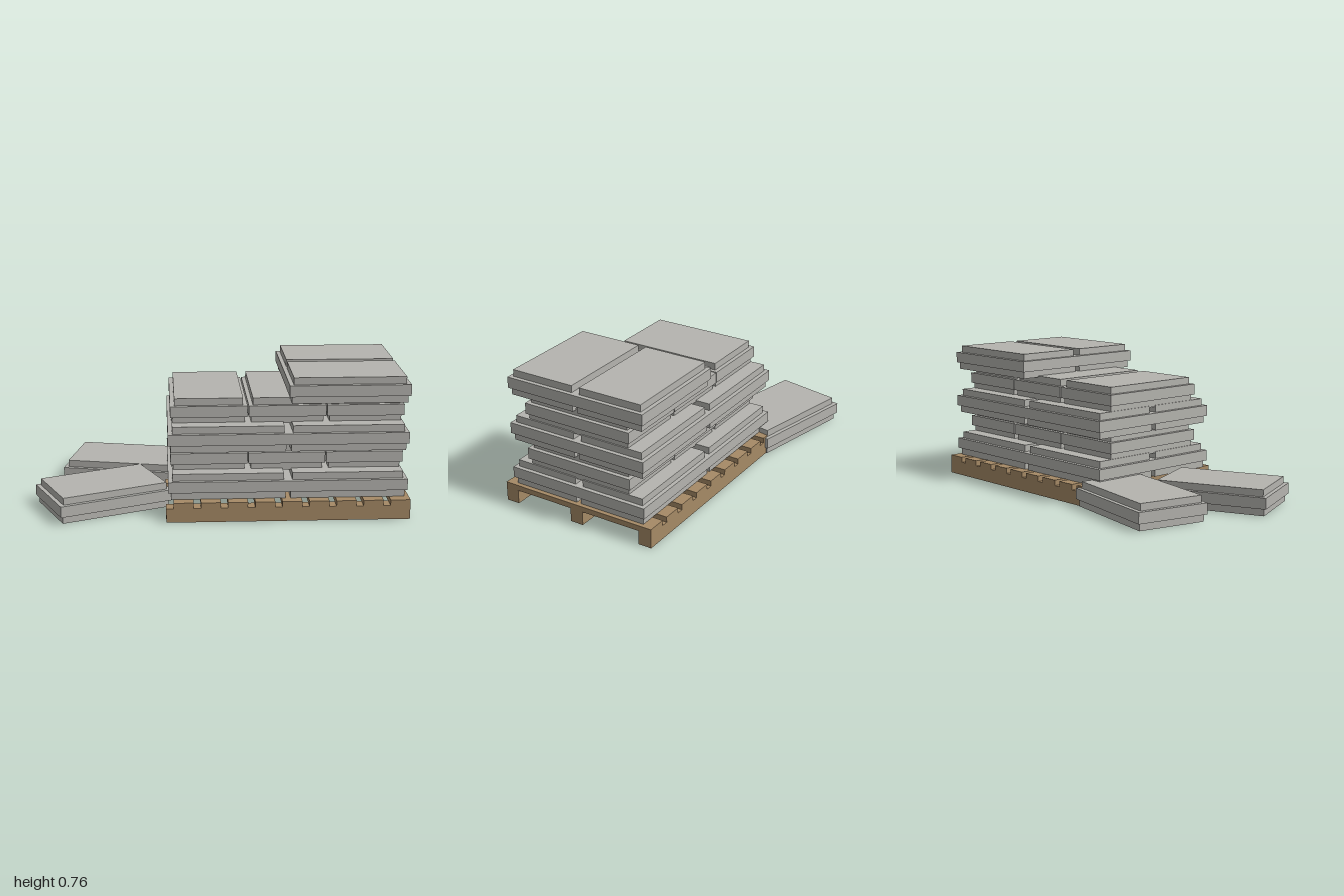
import * as THREE from 'three';

const LONG = 0.634, SHORT = 0.409, PITCH = 0.129, DECK_TOP = 0.107;

export function createModel() {
  const model = new THREE.Group();
  model.name = 'palletOfSlabs';
  const stone = new THREE.MeshStandardMaterial({ color: 0xb5b4af });
  stone.name = 'grey stone';
  const wood = new THREE.MeshStandardMaterial({ color: 0xa68a66 });
  wood.name = 'brown wood';

  // Box given by its lower and upper corners
  function box(parent, name, material, [x0, y0, z0], [x1, y1, z1]) {
    const mesh = new THREE.Mesh(new THREE.BoxGeometry(x1 - x0, y1 - y0, z1 - z0), material);
    mesh.position.set((x0 + x1) / 2, (y0 + y1) / 2, (z0 + z1) / 2);
    mesh.name = name;
    parent.add(mesh);
  }

  // Slab: a wide middle with a narrower foot and cap
  function slab(name, x, y, z, turn = 0) {
    const group = new THREE.Group();
    group.name = name;
    const tiers = [
      ['slabFoot', 0, 0.039, 0.0135],
      ['slabBody', 0.039, 0.099, 0],
      ['slabCap', 0.099, 0.137, 0.0225],
    ];
    for (const [part, y0, y1, inset] of tiers) {
      const hx = LONG / 2 - inset, hz = SHORT / 2 - inset;
      box(group, part, stone, [-hx, y0, -hz], [hx, y1, hz]);
    }
    group.position.set(x, y, z);
    group.rotation.y = turn;
    model.add(group);
  }

  // Pallet: three runners under nine slats
  const pallet = new THREE.Group();
  pallet.name = 'pallet';
  model.add(pallet);
  for (const z of [-0.385, 0.034, 0.45]) {
    box(pallet, 'runner', wood, [-0.29, 0, z], [1, 0.077, z + 0.075]);
  }
  for (let i = 0; i < 9; i++) {
    const x = -0.251 + i * 0.1432;
    box(pallet, 'slat', wood, [x, 0.077, -0.385], [x + 0.1054, DECK_TOP, 0.525]);
  }

  // Stacked slabs, laid crosswise in alternating layers; the top layer is half full
  for (let layer = 0; layer < 5; layer++) {
    const y = DECK_TOP + layer * PITCH;
    if (layer % 2 === 0) {
      for (const x of layer === 4 ? [0.673] : [0.039, 0.673]) {
        for (const z of [-0.1335, 0.2755]) slab('stackedSlab', x, y, z);
      }
    } else {
      for (const x of [-0.06, 0.355, 0.77]) slab('crosswiseSlab', x, y, 0.071, Math.PI / 2);
    }
  }

  // Loose slabs lying on the ground beside the pallet
  slab('looseSlabBack', -0.514, 0, -0.268, -0.209);
  slab('looseSlabFront', -0.629, 0, 0.22, 0.41);

  return model;
}
